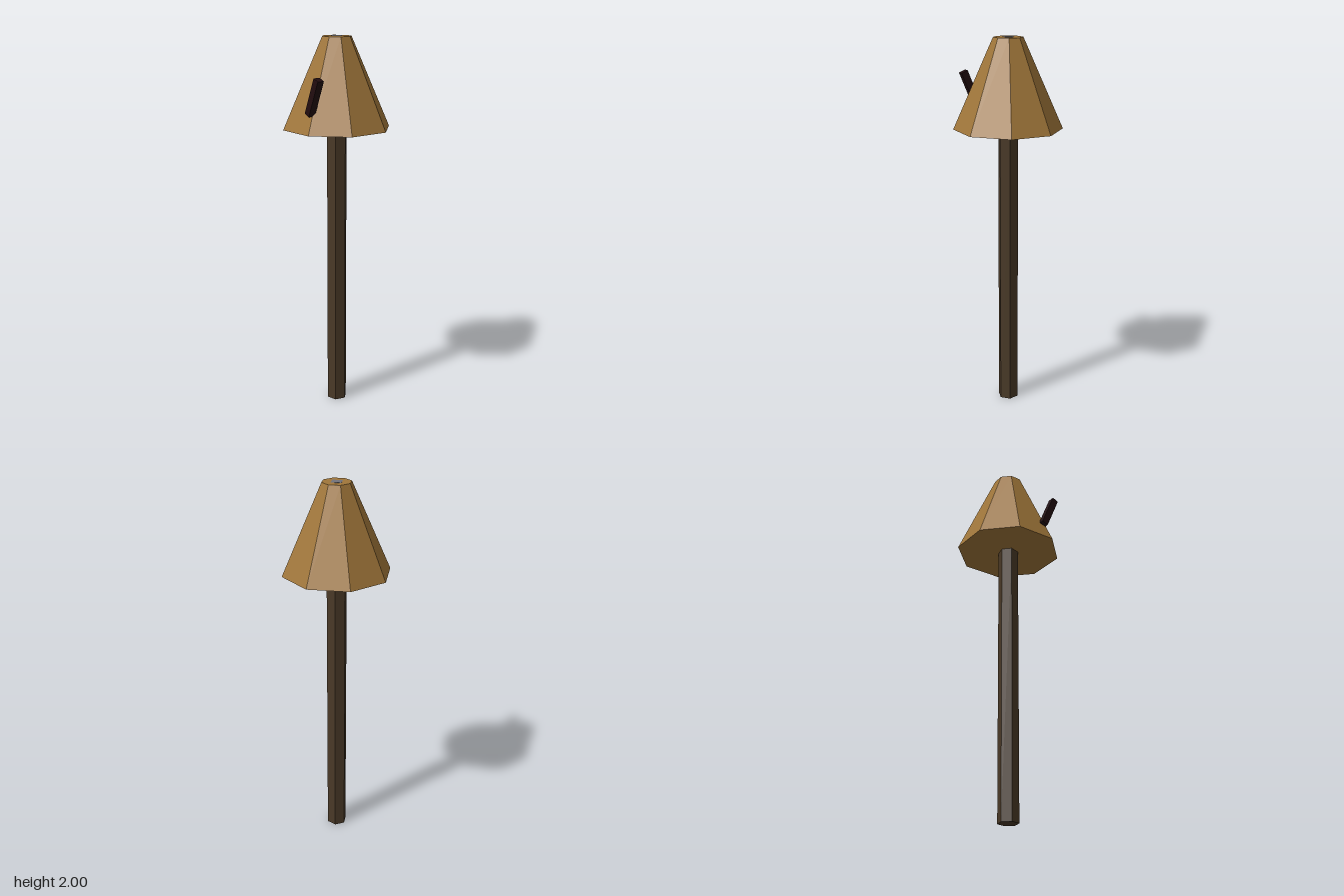
import * as THREE from 'three';

const material = (name, color) => {
  const m = new THREE.MeshStandardMaterial({ color, flatShading: true });
  m.name = name;
  return m;
};

export function createModel() {
  const model = new THREE.Group();
  const wood = material('dark wood', 0x493927);
  const tan = material('tan', 0xa0763a);
  const black = material('blackened wood', 0x220d0f);
  const grey = material('grey metal', 0x72727a);

  const add = (name, geometry, mat, x, y, z) => {
    const mesh = new THREE.Mesh(geometry, mat);
    mesh.name = name;
    mesh.position.set(x, y, z);
    model.add(mesh);
    return mesh;
  };
  // upright prism or frustum between two heights
  const prism = (name, mat, rTop, rBottom, y0, y1, sides, turn = 0) => {
    const g = new THREE.CylinderGeometry(rTop, rBottom, y1 - y0, sides);
    g.rotateY(turn);
    return add(name, g, mat, 0, (y0 + y1) / 2, 0);
  };

  // six-sided shaft
  prism('shaft', wood, 0.055, 0.055, 0, 1.54, 6, -Math.PI / 12);
  // eight-sided tapered head, flats facing the axes
  prism('head', tan, 0.077, 0.285, 1.53, 1.999, 8, Math.PI / 8);
  // small diamond set into the flat top
  prism('tip', grey, 0.038, 0.038, 1.993, 2, 4);
  // slanted peg on the front of the head
  const peg = add('peg', new THREE.BoxGeometry(0.037, 0.196, 0.037), black, 0.113, 1.718, 0.228);
  peg.rotation.z = -0.4;

  return model;
}
